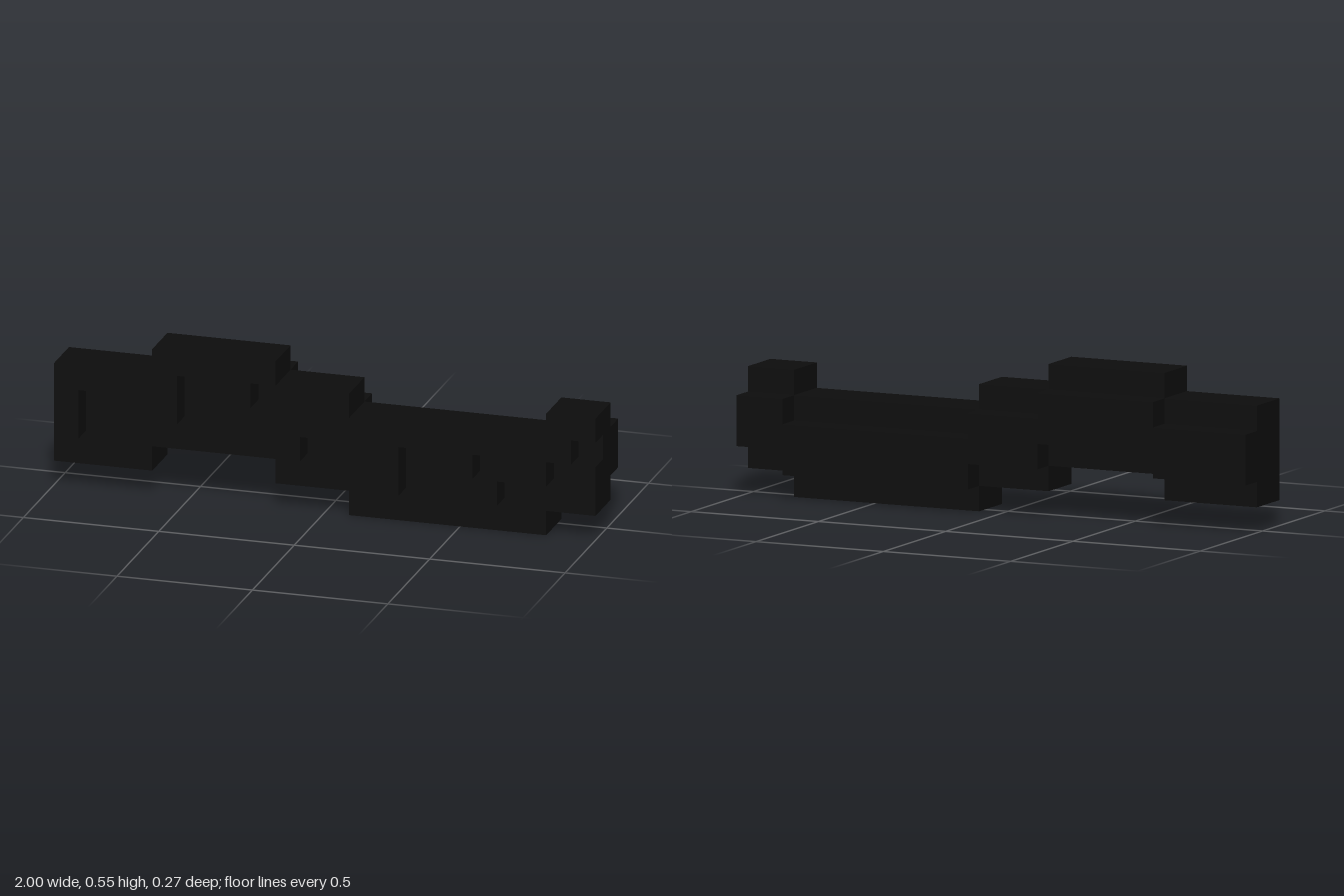
import * as THREE from 'three';

const U = 2 / 22; // size of one cube of the grid

// Stepped body segments: first column, end column, bottom row (each is four rows tall)
const segments = [[0, 4, 1], [4, 9, 2], [9, 12, 1], [12, 20, 0], [20, 22, 1]];

// Groove cut into the front layer: column -> open rows
const groove = {
  1: [2, 3], 2: [2],
  5: [3, 4], 6: [3], 7: [3], 8: [3, 4],
  10: [2], 11: [2], 12: [2],
  14: [1, 2], 15: [1], 17: [2], 18: [1], 19: [1], 20: [2], 21: [3],
};

export function createModel() {
  const group = new THREE.Group();
  const black = new THREE.MeshStandardMaterial({ color: 0x0d0d0d });
  black.name = 'black';

  // Box given by grid limits; layer 1 is the front, -1 the back
  function block(name, x0, x1, y0, y1, layer) {
    const mesh = new THREE.Mesh(
      new THREE.BoxGeometry((x1 - x0) * U, (y1 - y0) * U, U), black);
    mesh.position.set(((x0 + x1) / 2 - 11) * U, ((y0 + y1) / 2) * U, layer * U);
    mesh.name = name;
    group.add(mesh);
  }

  for (const [x0, x1, y0] of segments) {
    block('bodyCore', x0, x1, y0, y0 + 4, 0);
    // Narrow ridge along the back
    block('backRidge', x0, x1, y0 + 1, y0 + 3, -1);
    // Front layer, row by row, broken where the groove runs
    for (let y = y0; y < y0 + 4; y++) {
      let start = x0;
      for (let x = x0; x <= x1; x++) {
        if (x < x1 && !groove[x]?.includes(y)) continue;
        if (x > start) block('frontFace', start, x, y, y + 1, 1);
        start = x + 1;
      }
    }
  }
  return group;
}
